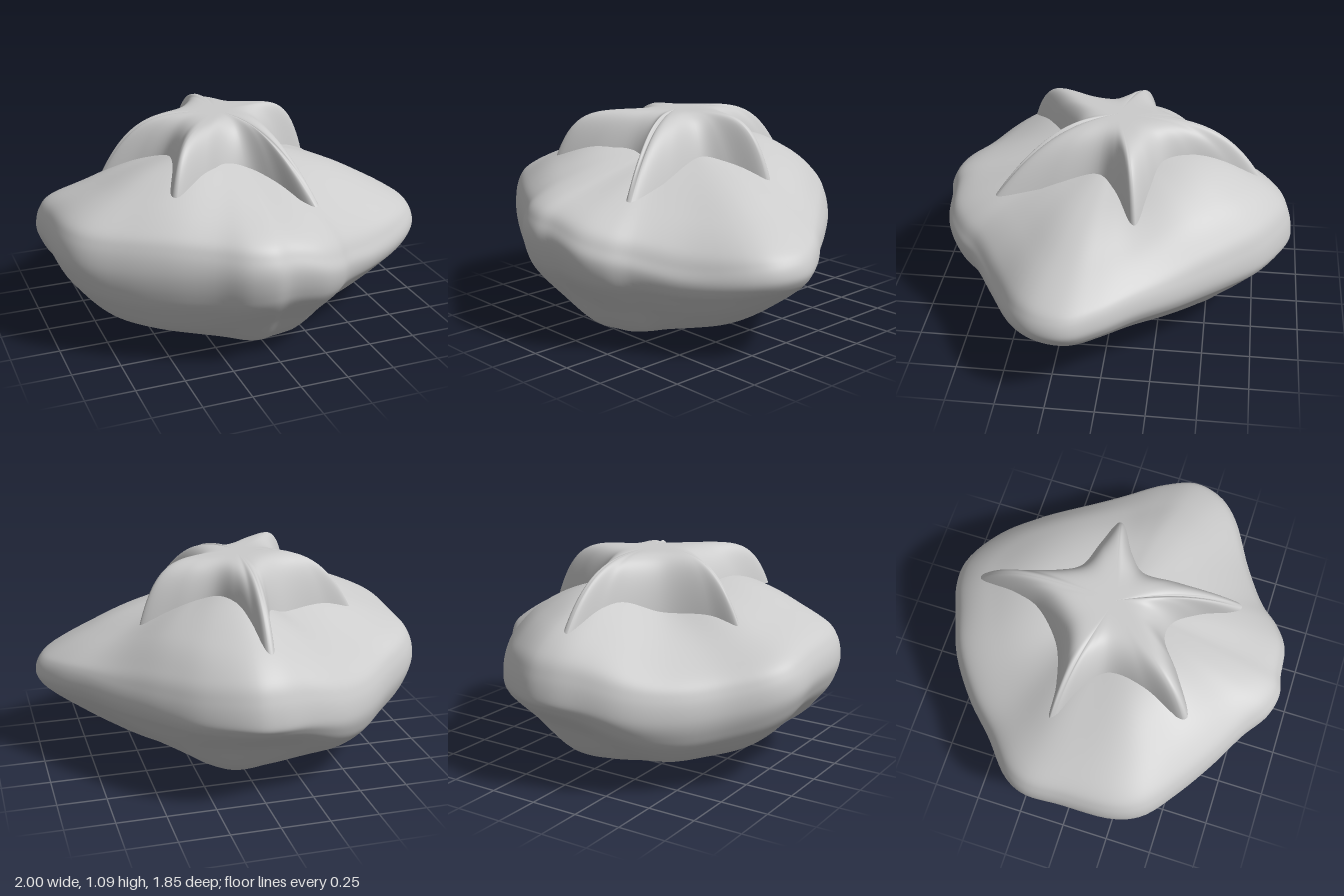
import * as THREE from 'three';

const material = () => new THREE.MeshStandardMaterial({ color: 0xcccccc });

// Closed skin running from a top pole outwards; column(u) returns a function v -> Vector3
function loft(name, nu, nv, column) {
  const pos = [], index = [];
  for (let i = 0; i < nu; i++) {
    const at = column(i / nu);
    for (let j = 0; j <= nv; j++) pos.push(...at(j / nv).toArray());
  }
  for (let i = 0; i < nu; i++) {
    for (let j = 0; j < nv; j++) {
      const a = i * (nv + 1) + j, b = ((i + 1) % nu) * (nv + 1) + j;
      index.push(a, b, a + 1, b, b + 1, a + 1);
    }
  }
  const geo = new THREE.BufferGeometry();
  geo.setAttribute('position', new THREE.Float32BufferAttribute(pos, 3));
  geo.setIndex(index);
  geo.computeVertexNormals();
  const mesh = new THREE.Mesh(geo, material());
  mesh.name = name;
  return mesh;
}

const closedCurve = (pts, type) =>
  new THREE.CatmullRomCurve3(pts.map(p => new THREE.Vector3(...p)), true, type);

// Boulder: widest outline (x, z), starting at +x and turning towards +z
const rockOutline = [
  [1, 0.15], [0.97, 0.3], [0.87, 0.42], [0.6, 0.58], [0.4, 0.71], [0.3, 0.81], [0.18, 0.88],
  [0, 0.9], [-0.1, 0.92], [-0.22, 0.89], [-0.35, 0.8], [-0.55, 0.69], [-0.75, 0.56],
  [-0.92, 0.42], [-0.98, 0.28], [-0.99, 0], [-0.99, -0.2], [-0.93, -0.32], [-0.75, -0.48],
  [-0.58, -0.65], [-0.37, -0.8], [-0.18, -0.87], [-0.03, -0.92], [0.1, -0.92], [0.32, -0.8],
  [0.48, -0.63], [0.63, -0.43], [0.79, -0.2], [0.93, -0.01],
];

// Heights at a fraction of the outline, for eight directions 45 degrees apart
const rockRows = [
  [0, [0.95, 0.95, 0.95, 0.95, 0.95, 0.95, 0.95, 0.95]],
  [0.45, [0.83, 0.83, 0.85, 0.94, 0.89, 0.81, 0.94, 0.9]],
  [0.75, [0.69, 0.69, 0.76, 0.84, 0.78, 0.69, 0.82, 0.8]],
  [0.92, [0.6, 0.57, 0.69, 0.74, 0.71, 0.6, 0.71, 0.67]],
  [0.98, [0.55, 0.48, 0.62, 0.66, 0.64, 0.52, 0.61, 0.58]],
  [1, [0.48, 0.42, 0.55, 0.55, 0.55, 0.42, 0.5, 0.5]],
  [0.98, [0.43, 0.36, 0.45, 0.43, 0.47, 0.33, 0.45, 0.44]],
  [0.93, [0.38, 0.31, 0.36, 0.32, 0.38, 0.25, 0.4, 0.39]],
  [0.8, [0.29, 0.2, 0.23, 0.16, 0.24, 0.15, 0.3, 0.28]],
  [0.6, [0.17, 0.08, 0.04, 0.06, 0.13, 0.09, 0.11, 0.16]],
  [0.35, [0.06, 0.03, 0.01, 0.03, 0.06, 0.04, 0.02, 0.05]],
  [0, [0.01, 0.01, 0.01, 0.01, 0.01, 0.01, 0.01, 0.01]],
];

function createRock() {
  const outline = closedCurve(rockOutline.map(([x, z]) => [x, 0, z]), 'centripetal');
  const rows = rockRows.map(([s, h]) => (
    { s, curve: closedCurve(h.map(y => [0, y, 0]), 'catmullrom') }));
  return loft('rock', 144, 77, u => {
    const rim = outline.getPoint(u);
    const turn = (Math.atan2(rim.z, rim.x) / (Math.PI * 2) + 1) % 1;
    const profile = new THREE.SplineCurve(
      rows.map(r => new THREE.Vector2(r.s, r.curve.getPoint(turn).y)));
    return v => {
      const p = profile.getPoint(v);
      const s = Math.min(p.x, 1);
      // the keel underneath sits a little towards +x
      const keel = v > 5 / 11 ? 0.1 * (1 - s) : 0;
      const x = rim.x * s + keel, z = rim.z * s;
      // gentle weathering of the surface
      const dent = 0.008 * s * Math.sin(9 * x + 2) * Math.sin(8 * z + 1);
      return new THREE.Vector3(x, Math.max(0, p.y + dent), z);
    };
  });
}

// Starfish: lower edge (x, y, z) and steepness of the side, from the back arm round towards +x
const starOutline = [
  [-0.005, 0.78, -0.75, 4], [0.03, 0.84, -0.6, 4], [0.07, 0.87, -0.4, 6], [0.14, 0.87, -0.26, 7],
  [0.32, 0.83, -0.2, 7], [0.49, 0.78, -0.145, 6], [0.485, 0.78, -0.12, 6],
  [0.32, 0.82, -0.02, 5], [0.22, 0.85, 0.08, 5], [0.24, 0.81, 0.32, 4], [0.26, 0.75, 0.59, 2.5],
  [0.235, 0.75, 0.6, 2.5], [0.11, 0.81, 0.41, 4], [0, 0.87, 0.29, 4], [-0.1, 0.9, 0.28, 5],
  [-0.26, 0.92, 0.39, 6], [-0.44, 0.86, 0.5, 7], [-0.46, 0.86, 0.48, 7],
  [-0.4, 0.88, 0.27, 5], [-0.37, 0.88, 0.06, 5], [-0.48, 0.82, -0.05, 5], [-0.65, 0.73, -0.14, 4],
  [-0.66, 0.73, -0.165, 4], [-0.49, 0.77, -0.18, 6], [-0.26, 0.82, -0.25, 7], [-0.13, 0.82, -0.4, 7],
  [-0.08, 0.8, -0.56, 5], [-0.03, 0.78, -0.75, 4],
];

function createStarfish() {
  const outline = closedCurve(starOutline.map(([x, y, z]) => [x, y, z]), 'centripetal');
  const steepness = closedCurve(starOutline.map(p => [p[3], 0, 0]), 'catmullrom');
  const cx = -0.05, top = 1.1;
  return loft('starfish', 224, 36, u => {
    const rim = outline.getPoint(u), power = steepness.getPoint(u).x;
    return v => {
      // flat crown that rolls over into steep sides, with finer rings near the edge
      const s = 1 - (1 - v) ** 1.6;
      return new THREE.Vector3(
        cx + (rim.x - cx) * s, top - (top - rim.y) * s ** power, rim.z * s);
    };
  });
}

export function createModel() {
  const model = new THREE.Group();
  model.name = 'starfishOnRock';
  model.add(createRock(), createStarfish());
  return model;
}
